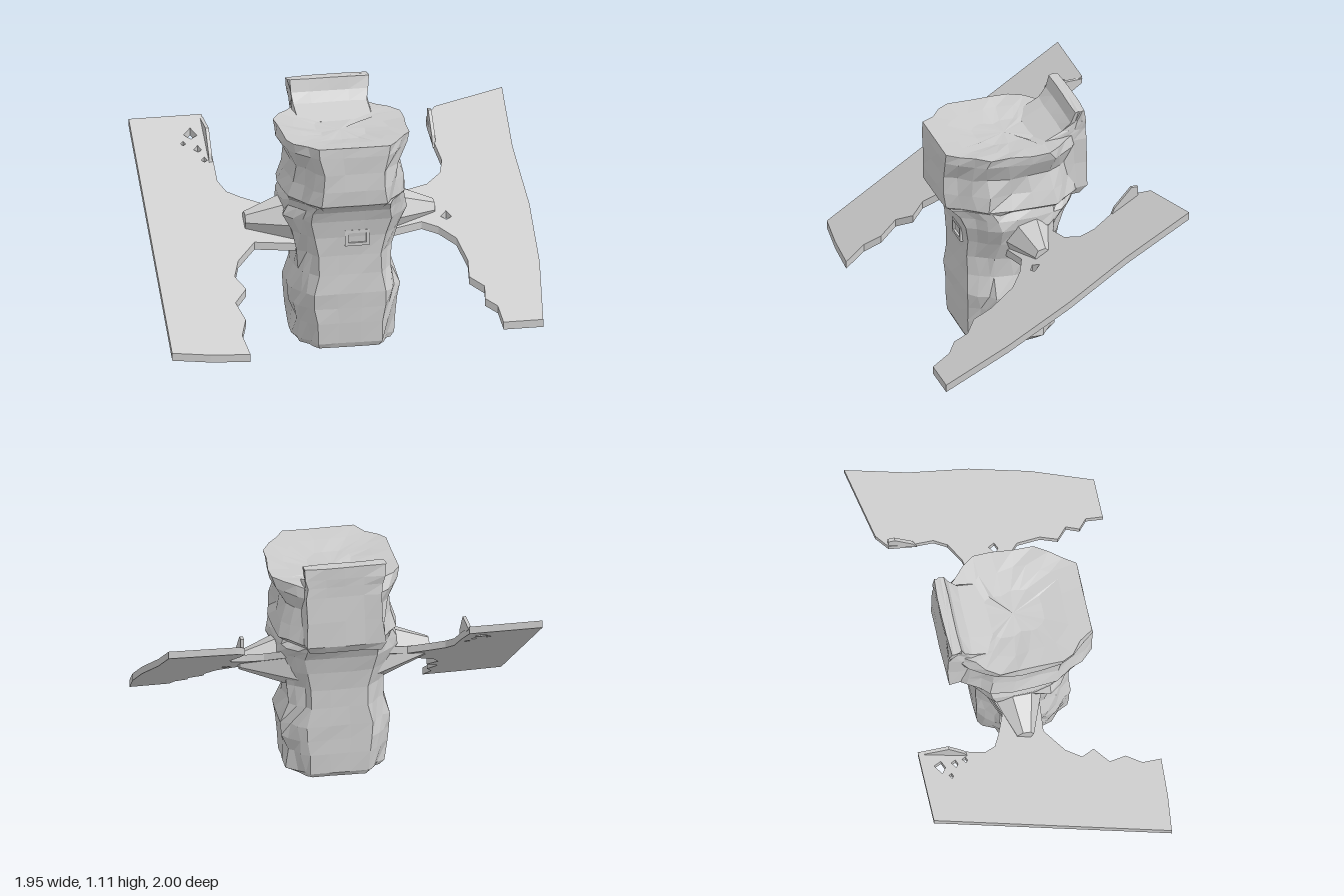
import * as THREE from 'three';

const material = new THREE.MeshStandardMaterial({ color: 0xcccccc, flatShading: true, side: THREE.DoubleSide });

// Small seeded generator for the rough, faceted skin
let seed = 7;
const rand = () => {
  seed = (seed * 16807) % 2147483647;
  return seed / 2147483647 - 0.5;
};

// Eight-sided outline; front is the half width of its front face
const octagon = (front) => [[-front, 1], [front, 1], [1, 0.45], [1, -0.55], [0.6, -1], [-0.6, -1], [-1, -0.55], [-1, 0.45]];
const SQUARE = [[-1, 1], [1, 1], [1, -1], [-1, -1]];

// Loft through rings [y, half width, front z, back z]; both ends are closed
function loft(name, profile, rings, split, rough) {
  const outline = [];
  profile.forEach((p, i) => {
    const q = profile[(i + 1) % profile.length];
    for (let k = 0; k < split; k++) {
      const t = k / split;
      outline.push([p[0] + (q[0] - p[0]) * t, p[1] + (q[1] - p[1]) * t]);
    }
  });
  const n = outline.length;
  const pos = [];
  const index = [];
  rings.forEach(([y, w, front, back]) => {
    const mid = (front + back) / 2;
    const half = (front - back) / 2;
    outline.forEach(([a, b]) => {
      // the flanks are rougher than the front and back faces
      const r = rough * (Math.abs(a) > 0.7 ? 1 : 0.25);
      pos.push(a * w + rand() * r, y + rand() * r * 0.3, mid + b * half + rand() * r);
    });
  });
  for (let j = 0; j < rings.length - 1; j++) {
    for (let i = 0; i < n; i++) {
      const a = j * n + i;
      const b = j * n + ((i + 1) % n);
      index.push(a, b, b + n, a, b + n, a + n);
    }
  }
  const last = rings.length - 1;
  [0, last].forEach((j) => {
    const [y, , front, back] = rings[j];
    const c = pos.length / 3;
    pos.push(0, y, (front + back) / 2);
    for (let i = 0; i < n; i++) {
      const a = j * n + i;
      const b = j * n + ((i + 1) % n);
      if (j === 0) index.push(c, b, a);
      else index.push(c, a, b);
    }
  });
  const geometry = new THREE.BufferGeometry();
  geometry.setAttribute('position', new THREE.Float32BufferAttribute(pos, 3));
  geometry.setIndex(index);
  geometry.computeVertexNormals();
  const mesh = new THREE.Mesh(geometry, material);
  mesh.name = name;
  return mesh;
}

// Thin slanted panel cut from an [x, z] outline; top height = base - slope * z
function panel(name, outline, holes, base, slope) {
  const thickness = 0.035;
  const toPoints = (list) => list.map(([x, z]) => new THREE.Vector2(x, -z));
  const shape = new THREE.Shape(toPoints(outline));
  holes.forEach((h) => shape.holes.push(new THREE.Path(toPoints(h))));
  const geometry = new THREE.ExtrudeGeometry(shape, { depth: thickness, bevelEnabled: false });
  geometry.rotateX(-Math.PI / 2);
  const p = geometry.attributes.position;
  for (let i = 0; i < p.count; i++) p.setY(i, p.getY(i) - thickness + base - slope * p.getZ(i));
  geometry.computeVertexNormals();
  const mesh = new THREE.Mesh(geometry, material);
  mesh.name = name;
  return mesh;
}

// Thin upright lip on a panel edge, from [distance behind centre, y] points
function lip(name, x, points) {
  const shape = new THREE.Shape(points.map(([d, y]) => new THREE.Vector2(d, y)));
  const mesh = new THREE.Mesh(new THREE.ExtrudeGeometry(shape, { depth: 0.015, bevelEnabled: false }), material);
  mesh.rotation.y = Math.PI / 2;
  mesh.position.x = x;
  mesh.name = name;
  return mesh;
}

const hole = (x, z, r) => [[x - r, z], [x, z + r * 0.7], [x + r, z + r * 0.2], [x + r * 0.2, z - r]];

export function createModel() {
  const model = new THREE.Group();
  model.name = 'satellite';
  // the whole craft faces diagonally between +x and +z
  model.rotation.y = Math.PI / 4;

  // Main barrel, bulging at the base and flaring at the shoulders
  model.add(loft('body', octagon(0.66), [
    [0.012, 0.2, 0.215, -0.17],
    [0.035, 0.22, 0.225, -0.185],
    [0.13, 0.225, 0.23, -0.19],
    [0.2, 0.245, 0.23, -0.19],
    [0.27, 0.245, 0.235, -0.19],
    [0.36, 0.215, 0.23, -0.19],
    [0.45, 0.215, 0.23, -0.19],
    [0.54, 0.245, 0.235, -0.2],
    [0.62, 0.275, 0.25, -0.22],
    [0.67, 0.265, 0.27, -0.25],
    [0.71, 0.25, 0.31, -0.27],
  ], 3, 0.024));

  // Wide hood with pinched sides; its top dips towards the rear box
  model.add(loft('hood', octagon(0.56), [
    [0.69, 0.24, 0.29, -0.26],
    [0.72, 0.27, 0.335, -0.29],
    [0.79, 0.25, 0.34, -0.28],
    [0.87, 0.24, 0.34, -0.27],
    [0.95, 0.28, 0.34, -0.27],
    [0.995, 0.285, 0.335, -0.25],
    [0.985, 0.2, 0.24, -0.19],
    [0.97, 0.1, 0.14, -0.12],
  ], 3, 0.024));

  // Tall equipment box on the back with a steep front above the hood
  model.add(loft('rearBox', SQUARE, [
    [0.69, 0.16, -0.1, -0.3],
    [0.73, 0.18, -0.1, -0.325],
    [0.85, 0.175, -0.1, -0.32],
    [0.97, 0.17, -0.1, -0.315],
    [1.02, 0.17, -0.21, -0.315],
    [1.06, 0.175, -0.25, -0.315],
    [1.115, 0.18, -0.265, -0.315],
  ], 4, 0.016));

  // Hatch frame on the front face
  const hatch = new THREE.Group();
  hatch.name = 'hatch';
  [[0, 0.03, 0.11, 0.014], [0, -0.03, 0.11, 0.014], [0.048, 0, 0.014, 0.06], [-0.048, 0, 0.014, 0.06]]
    .forEach(([x, y, w, h]) => {
      const bar = new THREE.Mesh(new THREE.BoxGeometry(w, h, 0.02), material);
      bar.position.set(x, y, 0);
      bar.name = 'hatchBar';
      hatch.add(bar);
    });
  hatch.position.set(0.03, 0.535, 0.233);
  model.add(hatch);

  // Ragged solar panels; the inner tongue of each outline joins the body
  model.add(panel('rightPanel', [
    [-0.85, -0.54], [-0.86, 0], [-0.87, 0.54], [-0.7, 0.56], [-0.52, 0.57], [-0.54, 0.48],
    [-0.51, 0.41], [-0.54, 0.33], [-0.48, 0.27], [-0.52, 0.21], [-0.49, 0.14],
    [-0.4, 0.06], [-0.2, 0.08], [-0.2, -0.16], [-0.32, -0.11], [-0.42, -0.15], [-0.48, -0.18],
    [-0.51, -0.23], [-0.51, -0.4], [-0.52, -0.54],
  ], [hole(-0.59, -0.45, 0.03), hole(-0.57, -0.38, 0.018), hole(-0.55, -0.33, 0.014), hole(-0.63, -0.41, 0.012)],
  0.52, 0.67));
  model.add(panel('leftPanel', [
    [0.85, -0.57], [0.84, -0.28], [0.86, 0], [0.85, 0.28], [0.81, 0.56], [0.63, 0.56], [0.62, 0.48],
    [0.57, 0.44], [0.58, 0.38], [0.52, 0.33], [0.53, 0.25], [0.5, 0.14], [0.43, 0.08],
    [0.36, 0.05], [0.2, 0.08], [0.2, -0.16], [0.33, -0.11], [0.42, -0.13], [0.49, -0.18],
    [0.51, -0.24], [0.49, -0.34], [0.48, -0.45], [0.53, -0.5],
  ], [hole(0.475, 0.03, 0.025)], 0.55, 0.615));

  // Upturned lips on the high inner corners
  model.add(lip('rightPanelLip', -0.53, [[0.54, 0.87], [0.4, 0.865], [0.33, 0.77], [0.31, 0.71]]));
  model.add(lip('leftPanelLip', 0.485, [[0.45, 0.87], [0.42, 0.87], [0.34, 0.78], [0.32, 0.73], [0.45, 0.81]]));

  // Tapered arms carrying the panels
  [-1, 1].forEach((side) => {
    const geometry = new THREE.CylinderGeometry(0.04, 0.14, 0.25, 7, 3);
    geometry.rotateZ(-side * Math.PI / 2);
    const arm = new THREE.Mesh(geometry, material);
    arm.position.set(side * 0.305, 0.555, -0.03);
    arm.name = side > 0 ? 'leftArm' : 'rightArm';
    model.add(arm);
  });

  const group = new THREE.Group();
  group.add(model);
  return group;
}
